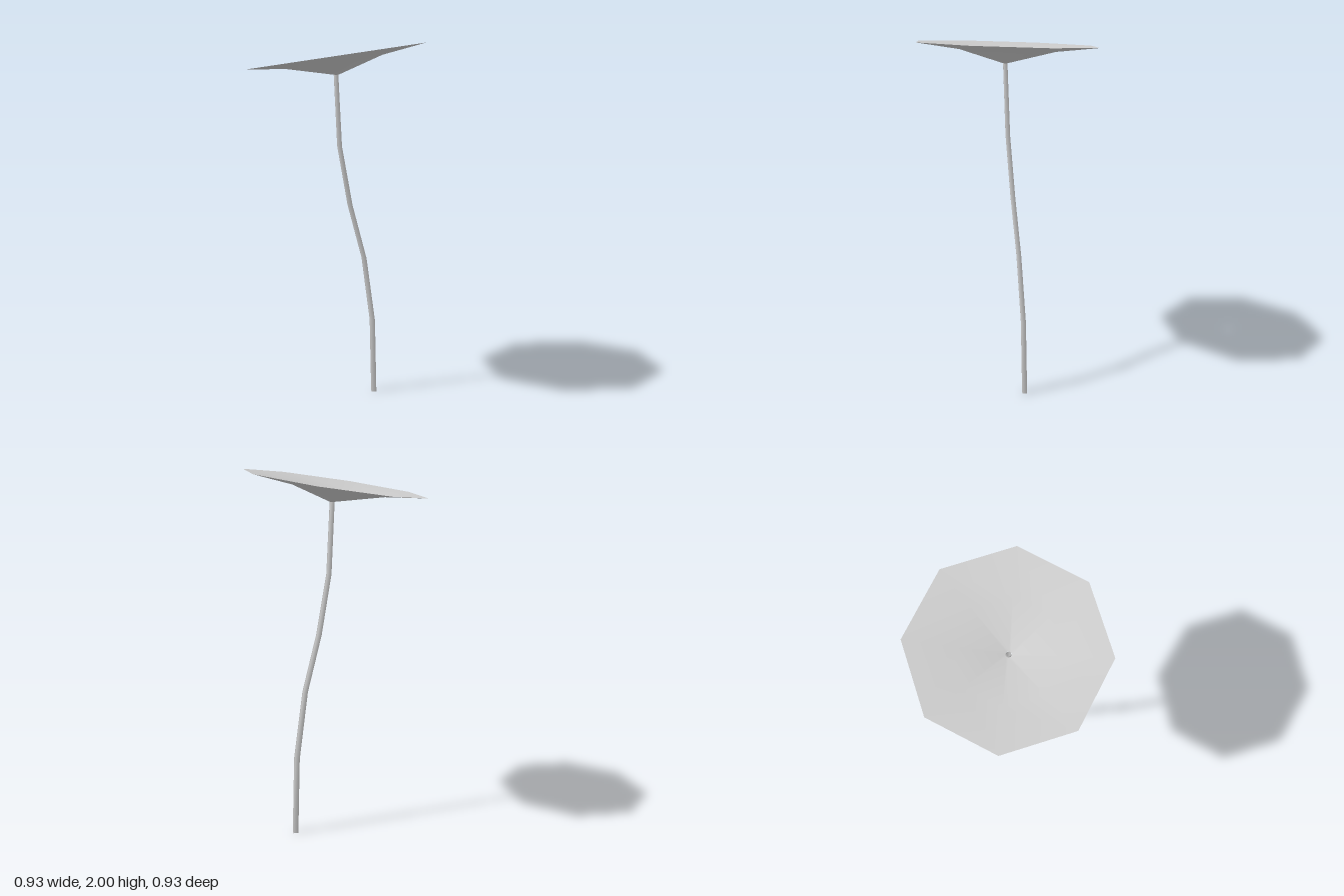
import * as THREE from 'three';

// Skin a list of equal-length rings (arrays of Vector3) into one smooth open surface
function skin(rings, material, name) {
  const n = rings[0].length;
  const index = [];
  for (let r = 0; r < rings.length - 1; r++) {
    for (let i = 0; i < n; i++) {
      const a = r * n + i, b = r * n + (i + 1) % n;
      index.push(a, a + n, b, b, a + n, b + n);
    }
  }
  const geometry = new THREE.BufferGeometry().setFromPoints(rings.flat());
  geometry.setIndex(index);
  geometry.computeVertexNormals();
  const mesh = new THREE.Mesh(geometry, material);
  mesh.name = name;
  return mesh;
}

// Ring of n points around (cx, cz); height is a function of x and z
function ring(n, radius, cx, cz, height, start = 0) {
  return Array.from({ length: n }, (_, i) => {
    const t = start - (i / n) * Math.PI * 2;
    const x = cx + radius * Math.cos(t), z = cz + radius * Math.sin(t);
    return new THREE.Vector3(x, height(x, z), z);
  });
}

export function createModel() {
  const group = new THREE.Group();
  group.name = 'funnelLeafPlant';
  const grey = new THREE.MeshStandardMaterial({ color: 0xcccccc, side: THREE.DoubleSide });
  grey.name = 'pale grey';

  // Crooked four-sided stem: x, y, z, radius
  const path = [
    [0.237, 0, 0.11, 0.019],
    [0.222, 0.43, 0.107, 0.019],
    [0.168, 0.8, 0.086, 0.018],
    [0.088, 1.11, 0.047, 0.018],
    [0.027, 1.44, 0.021, 0.017],
    [0.003, 1.83, 0.015, 0.016],
  ];
  group.add(skin(path.map(([x, y, z, r]) => ring(4, r, x, z, () => y)).reverse(), grey, 'stem'));

  // Tilted octagonal leaf, sinking to a funnel where it meets the stem
  const tilt = (x, z) => 1.925 + 0.075 * x + 0.129 * z;
  const turn = Math.PI / 8;
  group.add(skin([
    ring(8, 0.016, 0.003, 0.013, () => 1.828, turn),
    ring(8, 0.27, 0, 0, (x, z) => tilt(x, z) - 0.03, turn),
    ring(8, 0.506, 0, 0, tilt, turn),
  ].reverse().map((r) => r.reverse()).reverse(), grey, 'leaf'));

  return group;
}
